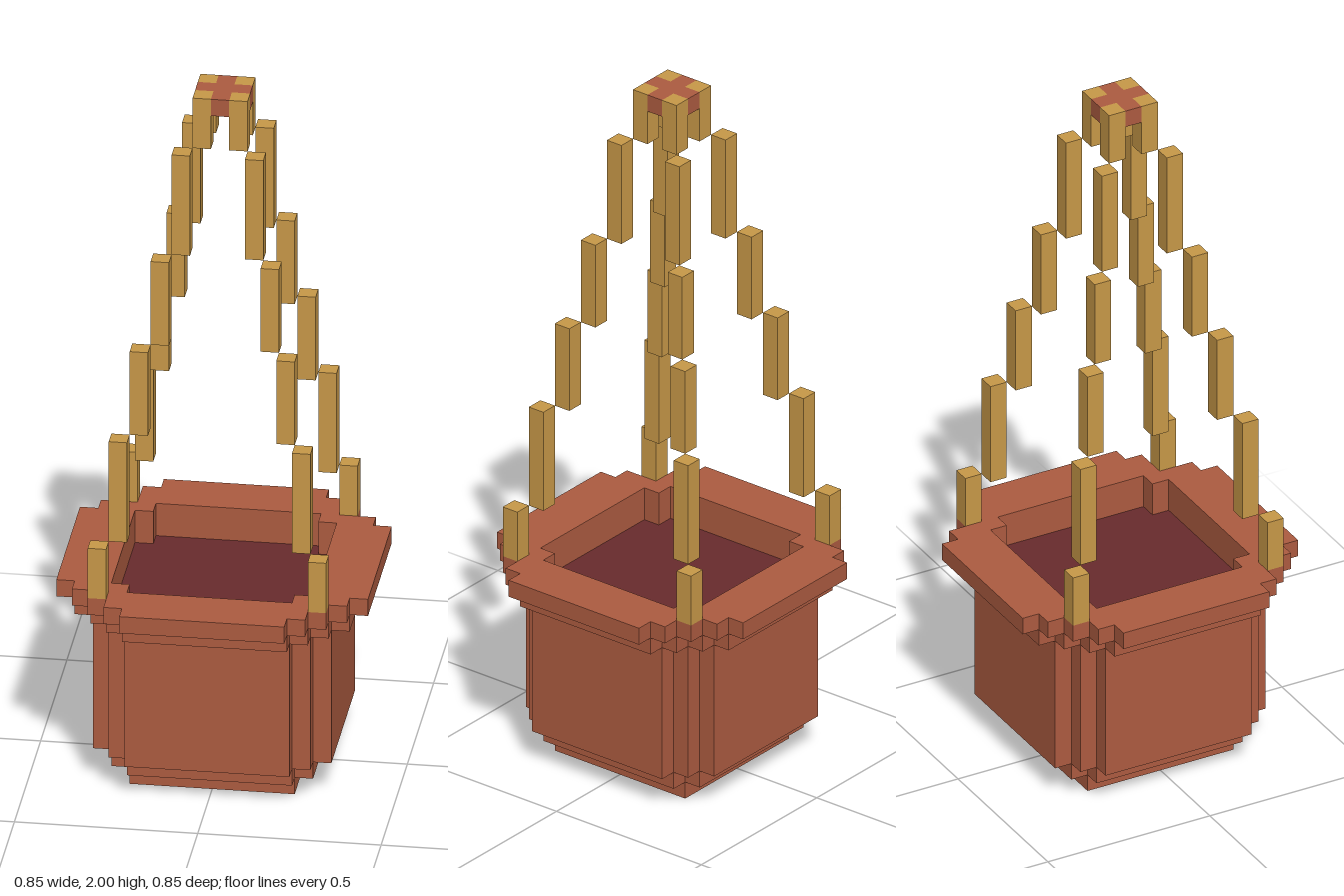
import * as THREE from 'three';

const U = 0.05;    // voxel size
const FLAT = 0.225; // half length of each straight side

// Square outline of half width w with stair-stepped corners, counter-clockwise
function steppedOutline(w) {
  const steps = Math.round((w - FLAT) / U);
  const quadrant = [];
  for (let i = 0; i <= steps; i++) {
    quadrant.push([w - i * U, FLAT + i * U]);
    if (i < steps) quadrant.push([w - (i + 1) * U, FLAT + i * U]);
  }
  const points = [];
  for (let q = 0; q < 4; q++) {
    for (const [x, y] of quadrant) {
      points.push(new THREE.Vector2(...[[x, y], [-y, x], [-x, -y], [y, -x]][q]));
    }
  }
  return points;
}

// Horizontal slab from y0 to y1, with an optional stepped hole
function slab(name, w, y0, y1, material, hole) {
  const shape = new THREE.Shape(steppedOutline(w));
  if (hole) shape.holes.push(new THREE.Path(steppedOutline(hole).reverse()));
  const geometry = new THREE.ExtrudeGeometry(shape, { depth: y1 - y0, bevelEnabled: false });
  geometry.rotateX(-Math.PI / 2);
  const mesh = new THREE.Mesh(geometry, material);
  mesh.name = name;
  mesh.position.y = y0;
  return mesh;
}

function box(name, sx, sz, x, y0, y1, z, material) {
  const mesh = new THREE.Mesh(new THREE.BoxGeometry(sx, y1 - y0, sz), material);
  mesh.name = name;
  mesh.position.set(x, (y0 + y1) / 2, z);
  return mesh;
}

export function createModel() {
  const terracotta = new THREE.MeshStandardMaterial({ color: 0xac5b40 });
  const soilBrown = new THREE.MeshStandardMaterial({ color: 0x682b2d });
  const ropeTan = new THREE.MeshStandardMaterial({ color: 0xc79848 });
  terracotta.name = 'terracotta';
  soilBrown.name = 'soilBrown';
  ropeTan.name = 'ropeTan';

  const model = new THREE.Group();
  model.name = 'hangingPlanter';

  // Pot: stepped foot, body and hollow two-layer rim around the soil
  const pot = new THREE.Group();
  pot.name = 'pot';
  pot.add(
    slab('foot', 0.225, 0, 0.05, terracotta),
    slab('footStep', 0.275, 0.05, 0.1, terracotta),
    slab('body', 0.325, 0.1, 0.5, terracotta),
    slab('lowerRim', 0.375, 0.5, 0.55, terracotta, 0.275),
    slab('upperRim', 0.425, 0.55, 0.6, terracotta, 0.275),
    slab('soil', 0.275, 0.5, 0.503, soilBrown),
  );
  model.add(pot);

  // Four ropes climbing inward in offset segments
  const heights = [0.6, 0.75, 1.05, 1.3, 1.55, 1.85, 2];
  for (const sx of [1, -1]) {
    for (const sz of [1, -1]) {
      const rope = new THREE.Group();
      rope.name = (sz > 0 ? 'front' : 'back') + (sx > 0 ? 'Left' : 'Right') + 'Rope';
      for (let i = 0; i < 6; i++) {
        const d = 0.3 - i * U;
        rope.add(box('ropeSegment', U, U, sx * d, heights[i], heights[i + 1], sz * d, ropeTan));
      }
      model.add(rope);
    }
  }

  // Cross-shaped hub joining the rope tops
  const hub = new THREE.Group();
  hub.name = 'hub';
  hub.add(box('hubBar', 3 * U, U, 0, 1.95, 2, 0, terracotta));
  for (const s of [1, -1]) hub.add(box('hubArm', U, U, 0, 1.95, 2, s * U, terracotta));
  model.add(hub);

  return model;
}
